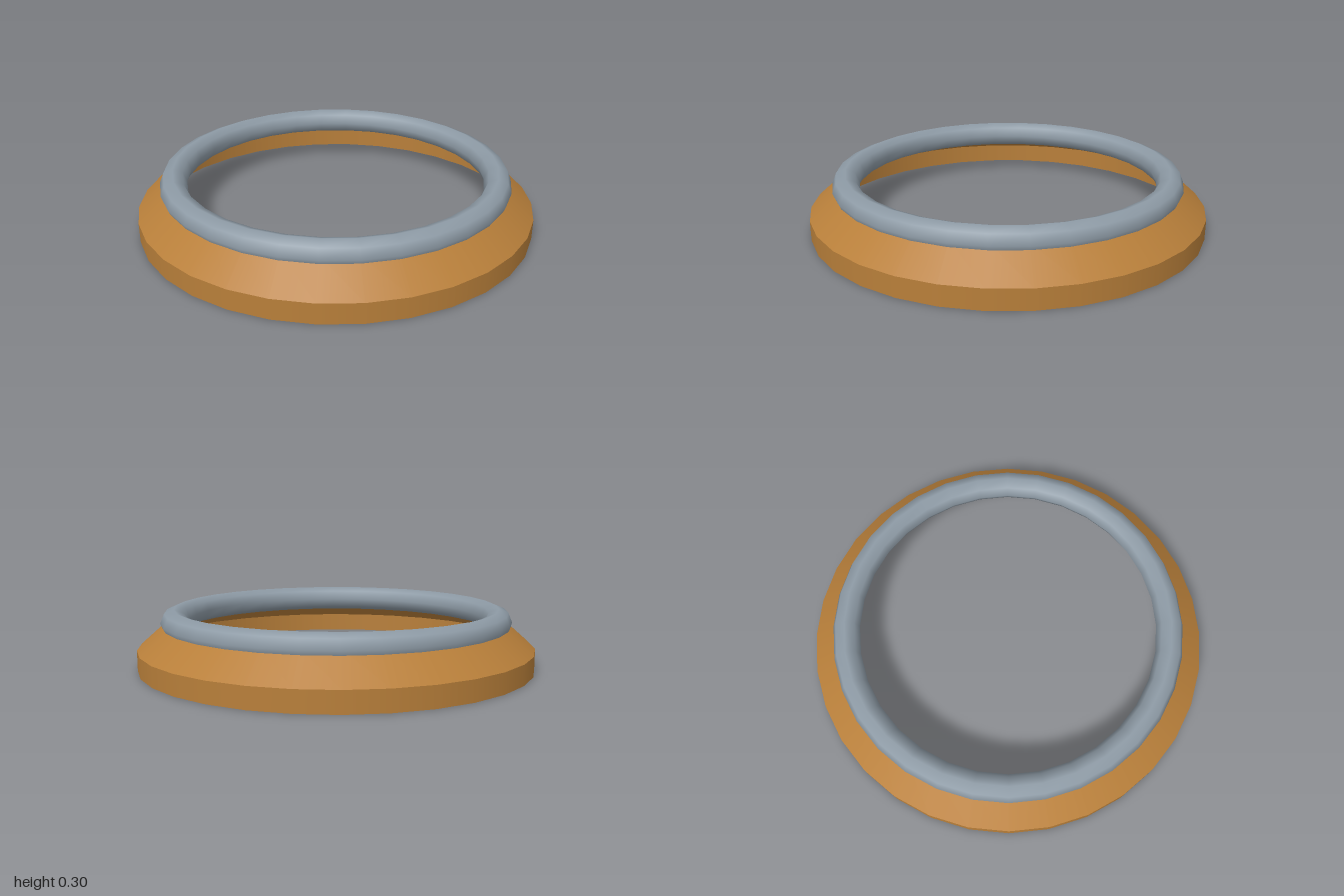
import * as THREE from 'three';

const SIDES = 32;

export function createModel() {
  const group = new THREE.Group();
  group.name = 'ringCollar';

  const bronze = new THREE.MeshStandardMaterial({ color: 0xb87f3a, side: THREE.DoubleSide });
  bronze.name = 'bronze';
  const steel = new THREE.MeshStandardMaterial({ color: 0x8e9ba6 });
  steel.name = 'steel grey';

  // Open band turned around the y axis, from one (radius, height) to another
  const band = (name, r0, y0, r1, y1) => {
    const profile = [new THREE.Vector2(r0, y0), new THREE.Vector2(r1, y1)];
    const mesh = new THREE.Mesh(new THREE.LatheGeometry(profile, SIDES), bronze);
    mesh.name = name;
    group.add(mesh);
  };

  // Thin skirt: upright base and sloping shoulder, with a hard edge between
  band('baseBand', 1, 0, 1, 0.1);
  band('slopedShoulder', 1, 0.1, 0.85, 0.232);

  // Rounded rim resting on the shoulder
  const rimGeometry = new THREE.TorusGeometry(0.817, 0.067, 8, SIDES);
  rimGeometry.rotateX(-Math.PI / 2);
  const rim = new THREE.Mesh(rimGeometry, steel);
  rim.name = 'rim';
  rim.position.y = 0.23;
  group.add(rim);

  return group;
}
